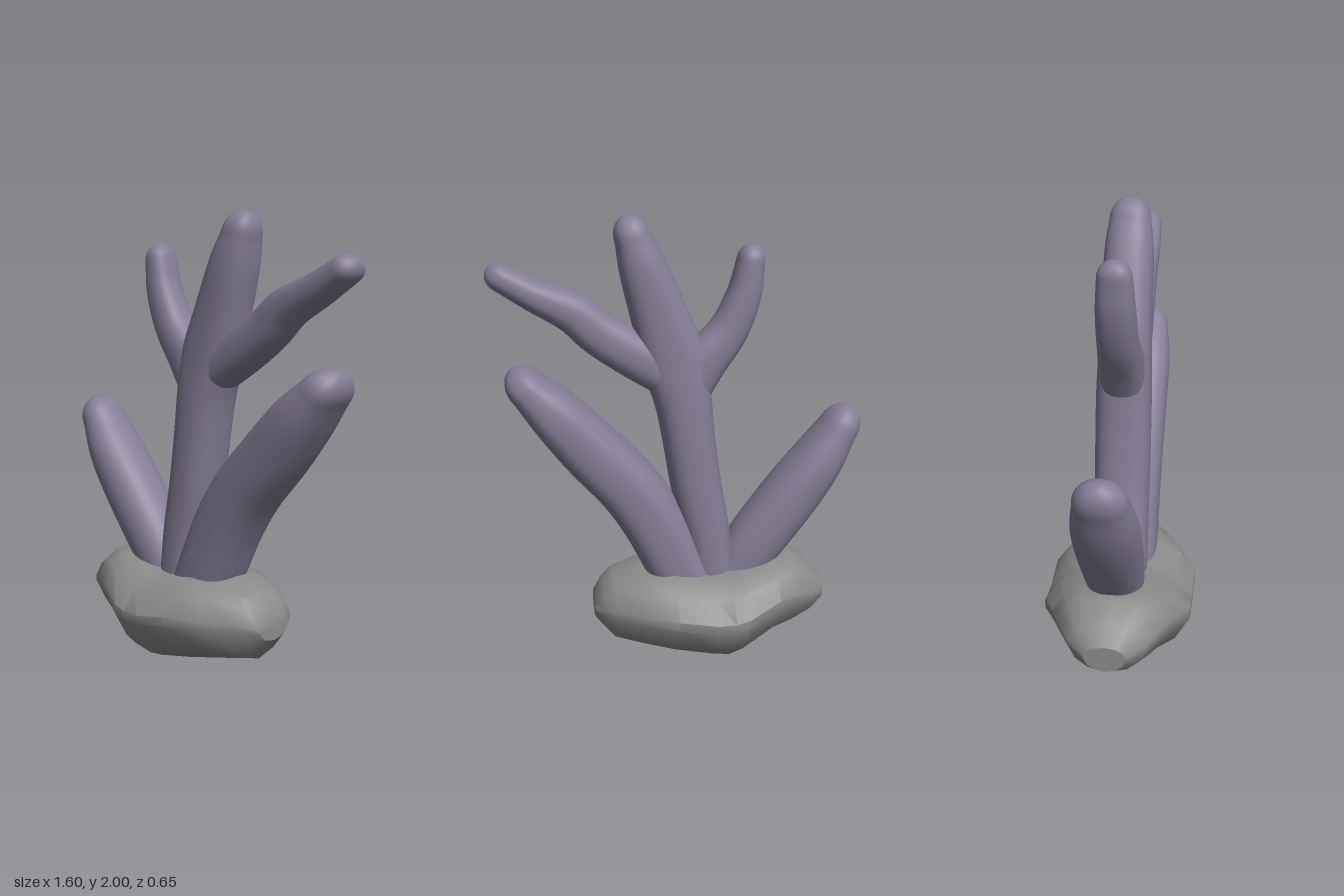
import * as THREE from 'three';
import { toCreasedNormals } from 'three/addons/utils/BufferGeometryUtils.js';

const coralMat = new THREE.MeshStandardMaterial({ color: 0x857d96 });
coralMat.name = 'dusty purple';
const rockMat = new THREE.MeshStandardMaterial({ color: 0x8b8b89 });
rockMat.name = 'stone grey';

// Skin a list of closed rings (arrays of Vector3) of equal length
function loft(rings) {
  const n = rings[0].length, pos = [], index = [];
  rings.forEach(r => r.forEach(p => pos.push(p.x, p.y, p.z)));
  for (let i = 0; i < rings.length - 1; i++) {
    for (let j = 0; j < n; j++) {
      const k = (j + 1) % n;
      const a = i * n + j, b = a + n, c = i * n + k, d = c + n;
      index.push(a, b, c, b, d, c);
    }
  }
  const geo = new THREE.BufferGeometry();
  geo.setAttribute('position', new THREE.Float32BufferAttribute(pos, 3));
  geo.setIndex(index);
  return geo;
}

// Rounded limb lying in the xy plane. Stations: [x, y, half width, half depth]
function limb(name, stations, capLength, power = 2.4) {
  const curve = (f) => new THREE.CatmullRomCurve3(stations.map(f), false, 'catmullrom', 0.5);
  const path = curve(s => new THREE.Vector3(s[0], s[1], 0));
  const size = curve(s => new THREE.Vector3(s[2], s[3], 0));
  const sides = 32, rings = [];
  const se = v => Math.sign(v) * Math.pow(Math.abs(v), 2 / power);
  const ring = (c, t, w, d) => {
    const r = [];
    for (let j = 0; j < sides; j++) {
      const a = j / sides * Math.PI * 2, u = se(Math.cos(a)) * w;
      r.push(new THREE.Vector3(c.x + t.y * u, c.y - t.x * u, se(Math.sin(a)) * d));
    }
    rings.push(r);
  };
  const steps = (stations.length - 1) * 6;
  for (let i = 0; i <= steps; i++) {
    const t = i / steps, s = size.getPoint(t);
    ring(path.getPoint(t), path.getTangent(t), s.x, s.y);
  }
  // domed tip
  const end = path.getPoint(1), dir = path.getTangent(1), s = size.getPoint(1);
  for (let k = 1; k <= 7; k++) {
    const a = k / 7 * Math.PI / 2, f = Math.max(Math.cos(a), 0.001);
    ring(end.clone().addScaledVector(dir, capLength * Math.sin(a)), dir, s.x * f, s.y * f);
  }
  const geo = loft(rings);
  geo.computeVertexNormals();
  const mesh = new THREE.Mesh(geo, coralMat);
  mesh.name = name;
  return mesh;
}

// Faceted boulder. Stations along x: [x, top, bottom, half depth]
function rock() {
  const stations = [
    [-0.65, 0.34, 0.22, 0.09], [-0.59, 0.41, 0.175, 0.165], [-0.5, 0.475, 0.135, 0.22],
    [-0.41, 0.478, 0.11, 0.262], [-0.26, 0.45, 0.025, 0.325], [-0.2, 0.44, 0, 0.325],
    [-0.12, 0.43, 0.012, 0.325], [0.05, 0.46, 0.05, 0.325], [0.19, 0.44, 0.08, 0.26],
    [0.31, 0.415, 0.105, 0.18], [0.355, 0.375, 0.16, 0.145], [0.395, 0.31, 0.21, 0.09],
  ];
  // half section: [depth fraction, height fraction], bottom to top
  const half = [[0, 0], [0.52, 0.09], [0.8, 0.25], [1, 0.52], [1, 0.62], [0.8, 0.84], [0.52, 0.95], [0, 1]];
  const section = [...half, ...half.slice(1, -1).reverse().map(([z, y]) => [-z, y])];
  const rings = stations.map(([x, top, bottom, d]) =>
    section.map(([z, y]) => new THREE.Vector3(x, bottom + (top - bottom) * y, z * d)));
  // close both ends
  const centre = ([x, top, bottom]) => section.map(() => new THREE.Vector3(x, (top + bottom) / 2, 0));
  rings.unshift(centre(stations[0]));
  rings.push(centre(stations[stations.length - 1]));
  const mesh = new THREE.Mesh(toCreasedNormals(loft(rings), 0.6), rockMat);
  mesh.name = 'rockBase';
  return mesh;
}

export function createModel() {
  const model = new THREE.Group();
  model.name = 'coralOnRock';
  model.add(rock());

  // broad lobes
  model.add(limb('leftHandLobe', [
    [-0.03, 0.34, 0.13, 0.145], [0.03, 0.46, 0.135, 0.148], [0.125, 0.66, 0.138, 0.148],
    [0.235, 0.83, 0.136, 0.148], [0.4, 1.015, 0.13, 0.148], [0.54, 1.175, 0.112, 0.146],
    [0.645, 1.285, 0.084, 0.125],
  ], 0.11, 2.6));
  model.add(limb('rightHandLobe', [
    [-0.24, 0.36, 0.115, 0.115], [-0.34, 0.52, 0.127, 0.13], [-0.5, 0.735, 0.127, 0.138],
    [-0.62, 0.9, 0.112, 0.135], [-0.71, 1.045, 0.085, 0.11],
  ], 0.12, 2.2));

  // trunk running up into the middle branch
  model.add(limb('trunk', [
    [-0.15, 0.36, 0.095, 0.12], [-0.115, 0.6, 0.105, 0.12], [-0.07, 0.82, 0.112, 0.12],
    [-0.035, 1.05, 0.115, 0.12], [-0.01, 1.22, 0.125, 0.118], [0.025, 1.38, 0.142, 0.112],
    [0.085, 1.57, 0.122, 0.108], [0.155, 1.78, 0.1, 0.103], [0.195, 1.9, 0.076, 0.088],
  ], 0.1));

  // side branches
  model.add(limb('rightHandBranch', [
    [0.01, 1.18, 0.1, 0.09], [-0.09, 1.36, 0.1, 0.095], [-0.205, 1.505, 0.084, 0.085],
    [-0.272, 1.66, 0.072, 0.08], [-0.298, 1.8, 0.058, 0.07],
  ], 0.07));
  model.add(limb('leftHandBranch', [
    [0.02, 1.31, 0.1, 0.1], [0.2, 1.42, 0.1, 0.098], [0.345, 1.515, 0.093, 0.092],
    [0.45, 1.605, 0.085, 0.09], [0.6, 1.68, 0.068, 0.088], [0.735, 1.757, 0.057, 0.08],
  ], 0.065));
  return model;
}
